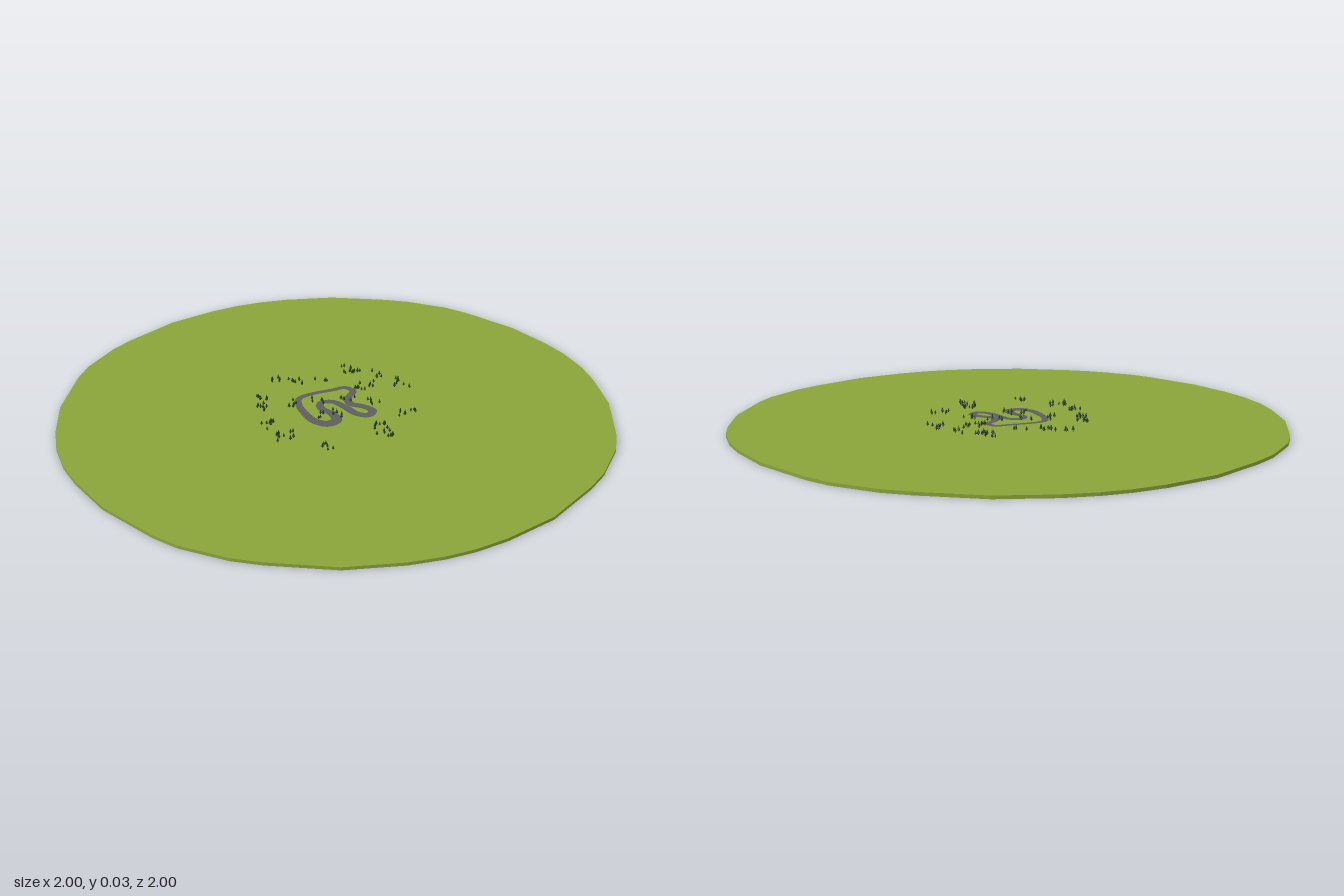
import * as THREE from 'three';

const GROUND_TOP = 0.011;

// small seeded generator for the tree scatter
function makeRandom(seed) {
  let s = seed;
  return () => (s = (s * 16807) % 2147483647) / 2147483647;
}

// thin faceted disc of grass
function createGround(material) {
  const quarter = [[1, 0.065], [0.983, 0.175], [0.933, 0.357], [0.825, 0.57], [0.77, 0.65],
    [0.645, 0.77], [0.56, 0.827], [0.357, 0.935], [0.167, 0.985], [0.05, 1]];
  const back = [...quarter].reverse();
  const outline = [
    ...quarter,
    ...back.map(([x, z]) => [-x, z]),
    ...quarter.map(([x, z]) => [-x, -z]),
    ...back.map(([x, z]) => [x, -z]),
  ].map(([x, z]) => new THREE.Vector2(x, z));
  const geometry = new THREE.ExtrudeGeometry(new THREE.Shape(outline), { depth: GROUND_TOP, bevelEnabled: false });
  geometry.rotateX(-Math.PI / 2);
  const mesh = new THREE.Mesh(geometry, material);
  mesh.name = 'ground';
  return mesh;
}

// closed winding road: each point is x, z, half width
function createRoad(material) {
  const points = [[-0.125, -0.04, 0.013], [-0.105, -0.095, 0.012], [-0.05, -0.112, 0.011], [0.03, -0.113, 0.011],
    [0.085, -0.113, 0.012], [0.101, -0.075, 0.013], [0.06, -0.03, 0.014], [0.055, 0.015, 0.016],
    [0.09, 0.05, 0.016], [0.108, 0.09, 0.016], [0.08, 0.117, 0.016], [0.045, 0.09, 0.016],
    [0.028, 0.035, 0.016], [0.0, -0.025, 0.014], [-0.04, -0.035, 0.014], [-0.058, 0.005, 0.015],
    [-0.036, 0.06, 0.017], [-0.04, 0.11, 0.02], [-0.08, 0.122, 0.022], [-0.115, 0.085, 0.018], [-0.126, 0.02, 0.015]];
  // the third coordinate of the curve carries the half width
  const curve = new THREE.CatmullRomCurve3(points.map((p) => new THREE.Vector3(...p)), true);
  const steps = 140, top = GROUND_TOP + 0.002;
  const position = [], index = [];
  for (let i = 0; i <= steps; i++) {
    const p = curve.getPoint((i % steps) / steps);
    const t = curve.getTangent((i % steps) / steps);
    const length = Math.hypot(t.x, t.y);
    const nx = (-t.y / length) * p.z, nz = (t.x / length) * p.z;
    position.push(p.x + nx, top, p.y + nz, p.x - nx, top, p.y - nz);
    if (i < steps) {
      const a = i * 2;
      index.push(a, a + 2, a + 1, a + 1, a + 2, a + 3);
    }
  }
  const geometry = new THREE.BufferGeometry();
  geometry.setAttribute('position', new THREE.Float32BufferAttribute(position, 3));
  geometry.setIndex(index);
  // wound to face upwards
  geometry.computeVertexNormals();
  const mesh = new THREE.Mesh(geometry, material);
  mesh.name = 'road';
  return mesh;
}

// clusters of tiny conifers: x, z, spread x, spread z, count
function createTrees(leafMaterial, trunkMaterial) {
  const clusters = [[-0.135, -0.265, 0.02, 0.02, 5], [-0.07, -0.225, 0.03, 0.03, 9], [0.02, -0.2, 0.02, 0.02, 3],
    [0.14, -0.25, 0.03, 0.03, 7], [0.17, -0.21, 0.03, 0.02, 6], [0.24, -0.17, 0.02, 0.03, 5],
    [0.28, -0.08, 0.02, 0.03, 6], [0.305, -0.04, 0.015, 0.015, 3], [0.13, -0.09, 0.02, 0.03, 6],
    [0.19, -0.1, 0.02, 0.02, 4], [0.06, -0.02, 0.03, 0.03, 5], [0.14, 0.04, 0.03, 0.04, 6],
    [0.19, 0.15, 0.02, 0.02, 5], [0.24, 0.15, 0.015, 0.015, 3], [0.08, 0.22, 0.03, 0.03, 9],
    [0.08, 0.275, 0.03, 0.025, 8], [-0.14, 0.275, 0.02, 0.02, 6], [-0.26, 0.155, 0.025, 0.03, 8],
    [-0.22, 0.15, 0.015, 0.02, 3], [-0.27, 0.06, 0.03, 0.03, 8], [-0.25, -0.07, 0.03, 0.03, 8],
    [-0.235, -0.15, 0.02, 0.025, 6], [-0.15, -0.06, 0.02, 0.03, 5], [-0.06, -0.05, 0.03, 0.03, 5],
    [-0.02, 0.07, 0.02, 0.04, 5], [-0.08, 0.05, 0.015, 0.03, 4]];
  const random = makeRandom(4711);
  const crown = new THREE.ConeGeometry(0.005, 0.015, 6).translate(0, 0.0125, 0);
  const trunk = new THREE.CylinderGeometry(0.0012, 0.0015, 0.006, 5).translate(0, 0.003, 0);
  const trees = new THREE.Group();
  trees.name = 'trees';
  for (const [x, z, dx, dz, count] of clusters) {
    for (let i = 0; i < count; i++) {
      const tree = new THREE.Group();
      tree.name = 'tree';
      const leaves = new THREE.Mesh(crown, leafMaterial);
      leaves.name = 'crown';
      const stem = new THREE.Mesh(trunk, trunkMaterial);
      stem.name = 'trunk';
      tree.add(leaves, stem);
      tree.position.set(x + (random() * 2 - 1) * dx, GROUND_TOP, z + (random() * 2 - 1) * dz);
      tree.rotation.y = random() * Math.PI;
      tree.scale.setScalar(0.8 + random() * 0.3);
      trees.add(tree);
    }
  }
  return trees;
}

export function createModel() {
  const group = new THREE.Group();
  group.name = 'roadIsland';
  const grass = new THREE.MeshStandardMaterial({ color: 0x8ba43a });
  const asphalt = new THREE.MeshStandardMaterial({ color: 0x5e5e5e, side: THREE.DoubleSide });
  const leaf = new THREE.MeshStandardMaterial({ color: 0x1c3a1c, flatShading: true });
  const bark = new THREE.MeshStandardMaterial({ color: 0x3a2a1a });
  group.add(createGround(grass), createRoad(asphalt), createTrees(leaf, bark));
  return group;
}
